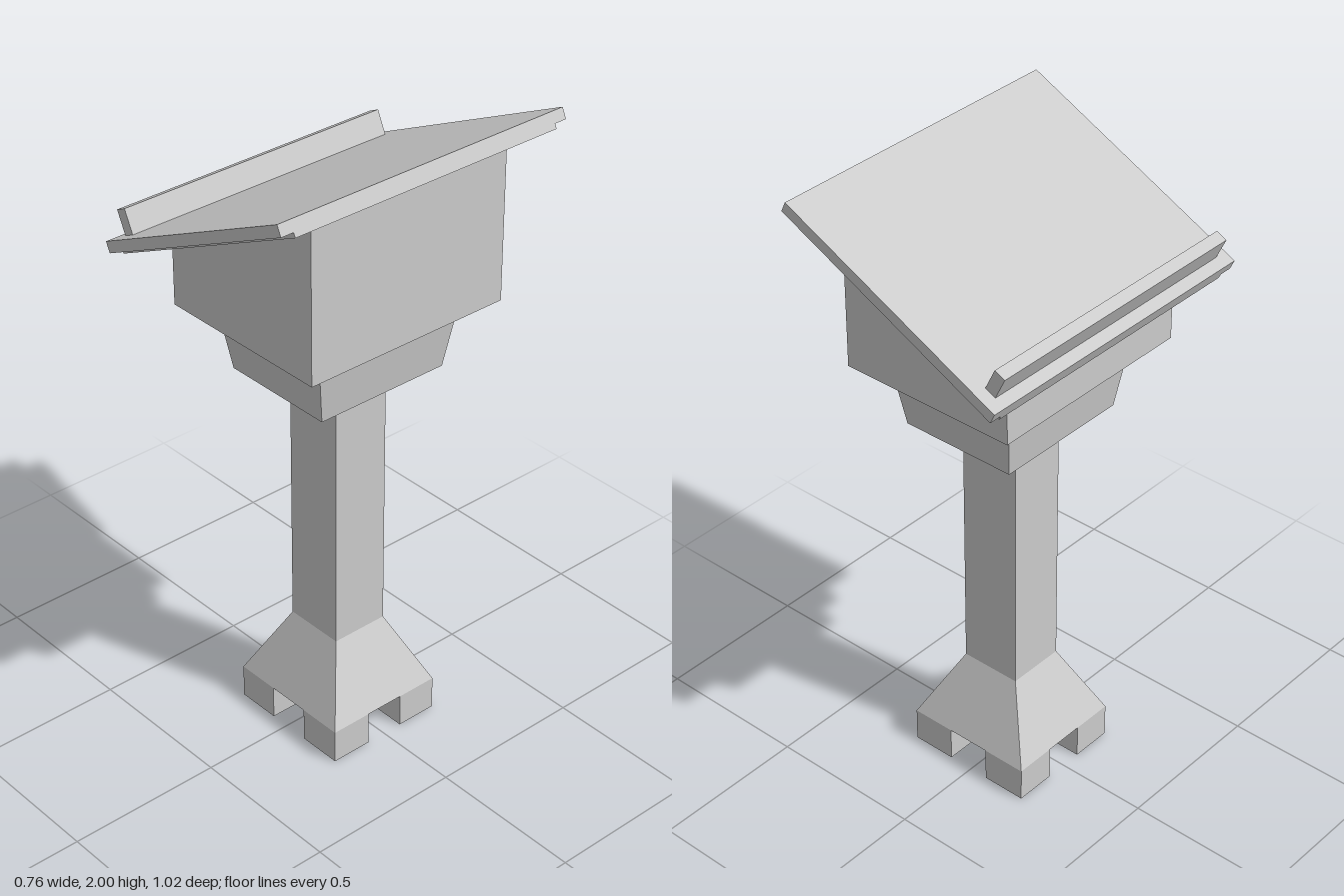
import * as THREE from 'three';

const material = new THREE.MeshStandardMaterial({ color: 0xcccccc, flatShading: true });
const AXIS = 0.01; // x of the pedestal's centre line

export function createModel() {
  const model = new THREE.Group();
  model.name = 'lectern';

  function add(parent, name, geometry, x = 0, y = 0, z = 0) {
    const mesh = new THREE.Mesh(geometry, material);
    mesh.name = name;
    mesh.position.set(x, y, z);
    parent.add(mesh);
    return mesh;
  }

  // Box whose top and bottom rectangles differ, given as half sizes
  function taper(bottomX, bottomZ, topX, topZ, y0, y1) {
    const geometry = new THREE.BoxGeometry(2, y1 - y0, 2);
    const p = geometry.attributes.position;
    for (let i = 0; i < p.count; i++) {
      const top = p.getY(i) > 0;
      p.setX(i, p.getX(i) * (top ? topX : bottomX));
      p.setZ(i, p.getZ(i) * (top ? topZ : bottomZ));
    }
    geometry.translate(0, (y0 + y1) / 2, 0);
    geometry.computeVertexNormals();
    return geometry;
  }

  // Side profile in x, y extruded from z0 to z1
  function slab(points, z0, z1) {
    const shape = new THREE.Shape(points.map(([x, y]) => new THREE.Vector2(x, y)));
    return new THREE.ExtrudeGeometry(shape, { depth: z1 - z0, bevelEnabled: false }).translate(0, 0, z0);
  }

  // Four feet
  for (const sx of [-1, 1]) {
    for (const sz of [-1, 1]) {
      add(model, 'foot', new THREE.BoxGeometry(0.144, 0.11, 0.135), AXIS + sx * 0.143, 0.055, sz * 0.1325);
    }
  }

  // Pedestal
  add(model, 'flaredBase', taper(0.215, 0.2, 0.1, 0.095, 0.11, 0.335), AXIS);
  add(model, 'post', taper(0.1, 0.095, 0.1, 0.095, 0.335, 1.217), AXIS);
  add(model, 'collar', taper(0.192, 0.228, 0.222, 0.263, 1.217, 1.43), AXIS);

  // Sloped cabinet with an open shelf on its low side
  const left = -0.285, right = 0.305, inner = 0.262;
  const bottom = 1.43, shelf = 1.54, halfDepth = 0.353, wall = 0.045;
  const roof = (x) => 1.64 + (x - left) * 0.476;
  const cabinet = new THREE.Group();
  cabinet.name = 'cabinet';
  model.add(cabinet);
  const sideProfile = [[left, bottom], [right, bottom], [right, roof(right)], [left, roof(left)]];
  const shelfProfile = [[left, bottom], [right, bottom], [right, roof(right)],
    [inner, roof(inner)], [inner, shelf], [left, shelf]];
  add(cabinet, 'sideWall', slab(sideProfile, -halfDepth, -halfDepth + wall));
  add(cabinet, 'sideWall', slab(sideProfile, halfDepth - wall, halfDepth));
  add(cabinet, 'shelfAndTallWall', slab(shelfProfile, -halfDepth + wall, halfDepth - wall));

  // Tilted reading desk: local x runs up the slope from its low top edge
  const desk = new THREE.Group();
  desk.name = 'readingDesk';
  desk.position.set(-0.379, 1.65, 0);
  desk.rotation.z = Math.atan(0.476);
  model.add(desk);
  const length = 0.815;
  add(desk, 'topBoard', new THREE.BoxGeometry(length, 0.035, 1.02), length / 2, -0.0175, 0);
  add(desk, 'underBoard', new THREE.BoxGeometry(length, 0.015, 0.936), length / 2, -0.0425, 0);
  add(desk, 'bookLedge', new THREE.BoxGeometry(0.038, 0.076, 0.936), 0.057, 0.038, 0);

  return model;
}
